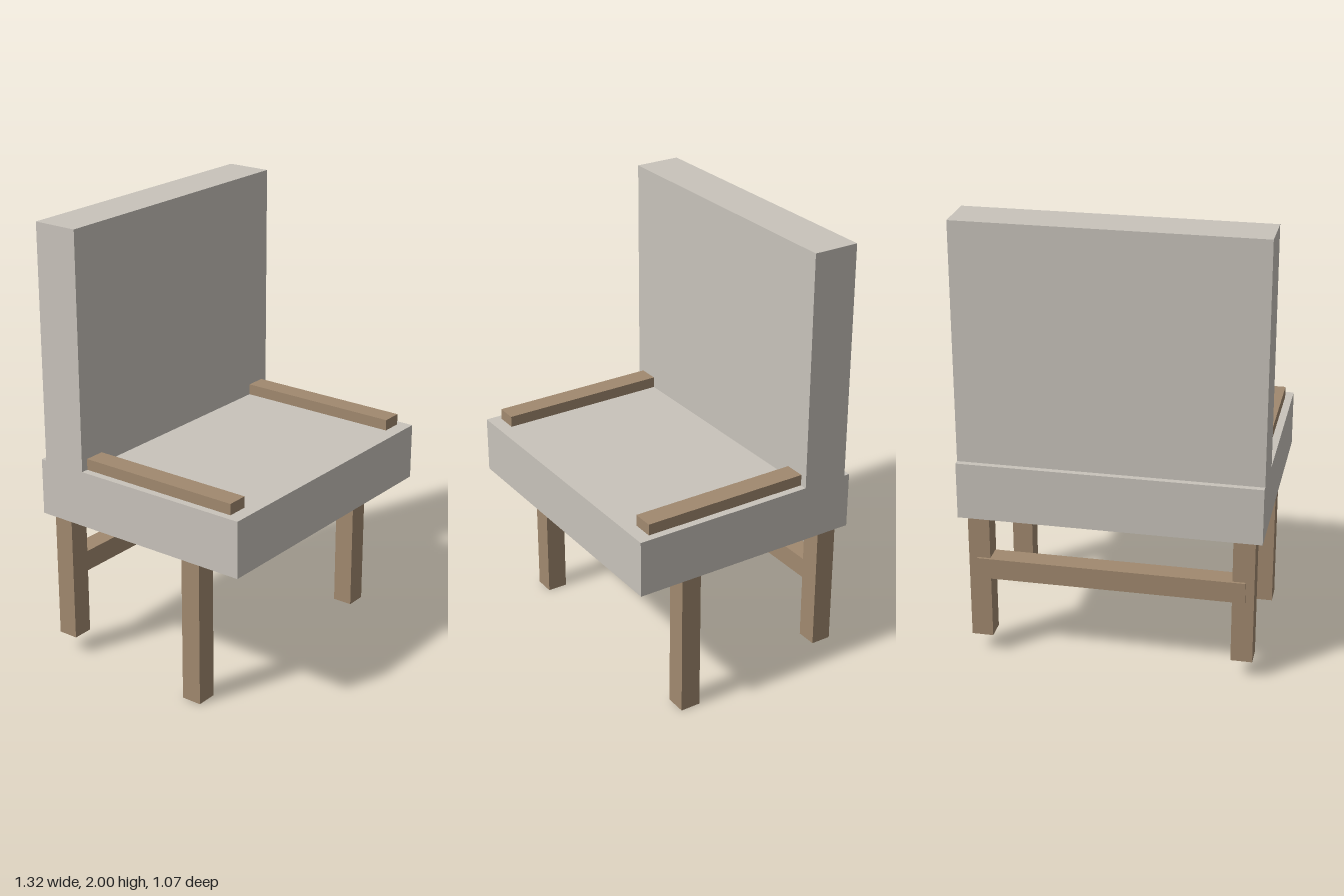
import * as THREE from 'three';

export function createModel() {
  const model = new THREE.Group();
  model.name = 'chair';

  const fabric = new THREE.MeshStandardMaterial({ color: 0xc8c3bb });
  fabric.name = 'warm grey fabric';
  const wood = new THREE.MeshStandardMaterial({ color: 0xa1896f });
  wood.name = 'brown wood';

  // Box given by its [min, max] extent along each axis
  function addBox(name, material, [x0, x1], [y0, y1], [z0, z1]) {
    const mesh = new THREE.Mesh(new THREE.BoxGeometry(x1 - x0, y1 - y0, z1 - z0), material);
    mesh.position.set((x0 + x1) / 2, (y0 + y1) / 2, (z0 + z1) / 2);
    mesh.name = name;
    model.add(mesh);
  }

  // Upholstered seat and upright back
  addBox('seat', fabric, [-0.66, 0.66], [0.68, 0.935], [-0.533, 0.533]);
  addBox('backrest', fabric, [-0.66, 0.66], [0.935, 2], [-0.507, -0.298]);

  // Legs and low arm strips, mirrored; the back legs are shorter
  for (const [side, s] of [['left', 1], ['right', -1]]) {
    const x = s > 0 ? [0.532, 0.627] : [-0.627, -0.532];
    addBox(side + 'FrontLeg', wood, x, [0, 0.68], [0.215, 0.308]);
    addBox(side + 'BackLeg', wood, x, [0.088, 0.68], [-0.495, -0.402]);
    addBox(side + 'Armrest', wood, x, [0.935, 0.985], [-0.298, 0.473]);
  }

  // Stretcher joining the back legs, slightly proud of them
  addBox('backStretcher', wood, [-0.59, 0.59], [0.38, 0.475], [-0.506, -0.412]);

  return model;
}
